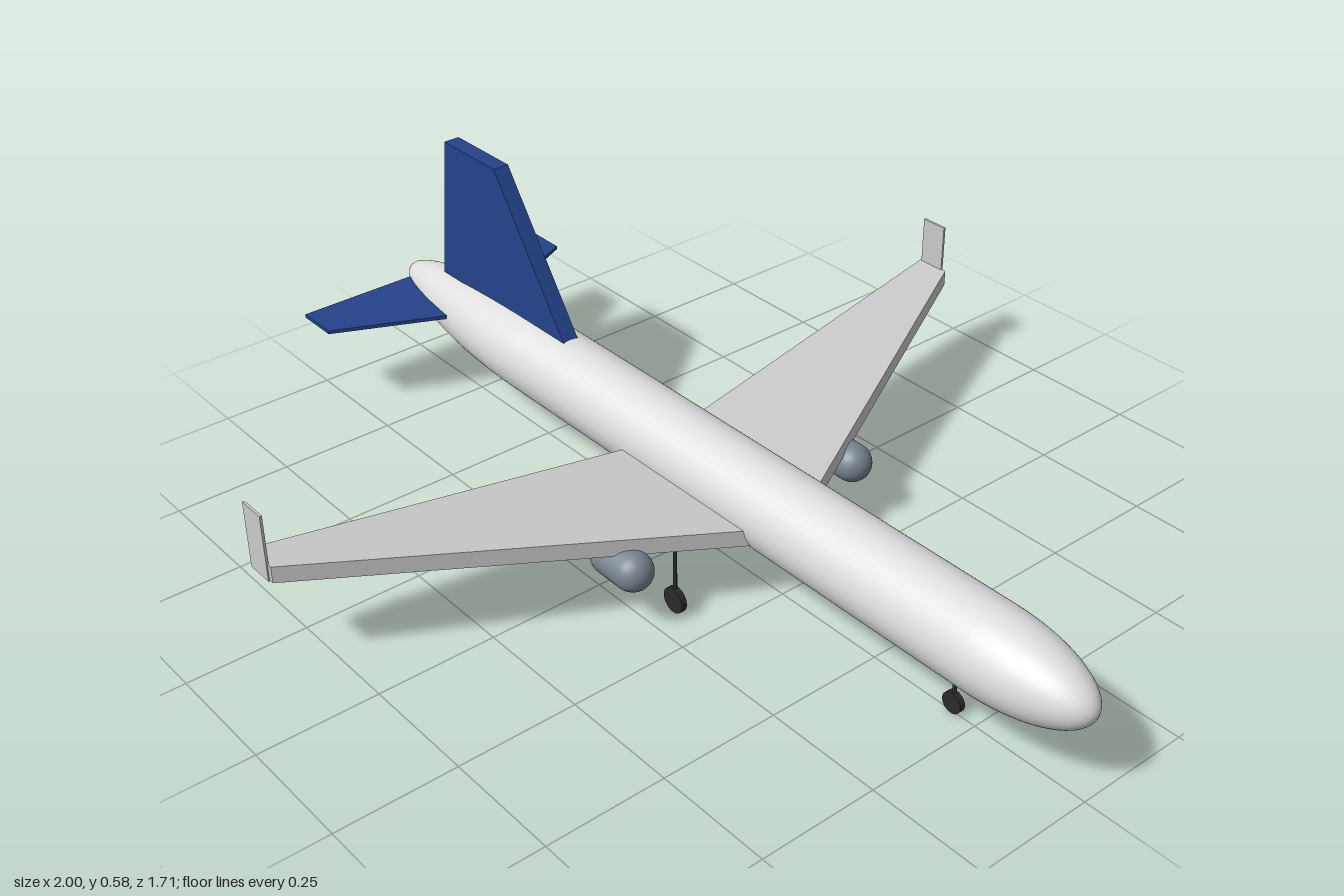
import * as THREE from 'three';

const mat = (name, color) => {
  const m = new THREE.MeshStandardMaterial({ color });
  m.name = name;
  return m;
};

export function createModel() {
  const body = mat('body white', 0xdedede);
  const wingGrey = mat('wing grey', 0xcacaca);
  const blue = mat('tail blue', 0x24438a);
  const engineGrey = mat('engine grey', 0x78848f);
  const dark = mat('gear dark', 0x2b2b2b);

  const plane = new THREE.Group();
  plane.name = 'airliner';
  const add = (name, geometry, material, x = 0, y = 0, z = 0) => {
    const mesh = new THREE.Mesh(geometry, material);
    mesh.name = name;
    mesh.position.set(x, y, z);
    plane.add(mesh);
    return mesh;
  };

  // Fuselage: round tube with elliptical nose and a longer, slightly raised tail
  const R = 0.087, CY = 0.186, noseX = 0.77, tailX = -0.52, N = 16;
  const profile = [];
  for (let i = 0; i <= N; i++) {
    const a = (i / N) * Math.PI / 2;
    profile.push(new THREE.Vector2(R * Math.sin(a), tailX - (1 + tailX) * Math.cos(a)));
  }
  for (let i = 0; i <= N; i++) {
    const a = (i / N) * Math.PI / 2;
    profile.push(new THREE.Vector2(R * Math.cos(a), noseX + (1 - noseX) * Math.sin(a)));
  }
  const hull = new THREE.LatheGeometry(profile, 48).rotateZ(-Math.PI / 2);
  const p = hull.attributes.position;
  for (let i = 0; i < p.count; i++) {
    const t = Math.max(0, (tailX - p.getX(i)) / (1 + tailX));
    p.setY(i, p.getY(i) + 0.017 * t * t);
  }
  add('fuselage', hull, body, 0, CY, 0);

  // Flat panel from an x/z outline, top at y = 0, rising by slope towards the tip
  const panel = (outline, side, thickness, slope) => {
    const shape = new THREE.Shape(outline.map(([x, z]) => new THREE.Vector2(x, z * side)));
    const g = new THREE.ExtrudeGeometry(shape, { depth: thickness, bevelEnabled: false });
    g.rotateX(Math.PI / 2);
    const q = g.attributes.position;
    for (let i = 0; i < q.count; i++) q.setY(i, q.getY(i) + slope * Math.abs(q.getZ(i)));
    g.computeVertexNormals();
    return g;
  };

  const wingOutline = [[-0.123, 0.03], [0.237, 0.075], [-0.155, 0.85], [-0.23, 0.85]];
  const stabOutline = [[-0.96, 0], [-0.722, 0], [-0.865, 0.305], [-0.96, 0.305]];

  for (const [side, label] of [[1, 'left'], [-1, 'right']]) {
    add(label + 'Wing', panel(wingOutline, side, 0.035, 0.085), wingGrey, 0, 0.17, 0);
    add(label + 'Winglet', new THREE.BoxGeometry(0.06, 0.14, 0.005), wingGrey, -0.196, 0.275, side * 0.85);
    add(label + 'Stabilizer', panel(stabOutline, side, 0.008, 0), blue, 0, 0.207, 0);

    // Engine pod
    const pod = new THREE.CapsuleGeometry(0.04, 0.065, 10, 28).rotateZ(Math.PI / 2);
    add(label + 'Engine', pod, engineGrey, 0.112, 0.13, side * 0.28);
  }

  // Tail fin
  const fin = new THREE.Shape([
    [-0.842, 0.262], [-0.4, 0.262], [-0.625, 0.585], [-0.803, 0.585],
  ].map(([x, y]) => new THREE.Vector2(x, y)));
  add('tailFin', new THREE.ExtrudeGeometry(fin, { depth: 0.036, bevelEnabled: false }), blue, 0, 0, -0.018);

  // Landing gear: one strut and one wheel each
  const gear = (name, x, z, r, top) => {
    const wheel = new THREE.CylinderGeometry(r, r, 0.012, 24).rotateX(Math.PI / 2);
    add(name + 'Wheel', wheel, dark, x, r, z);
    add(name + 'Strut', new THREE.CylinderGeometry(0.004, 0.004, top - r, 10), dark, x, (top + r) / 2, z);
  };
  gear('noseGear', 0.697, 0, 0.022, 0.12);
  gear('leftGear', 0.157, 0.19, 0.027, 0.165);
  gear('rightGear', 0.157, -0.19, 0.027, 0.165);

  return plane;
}
